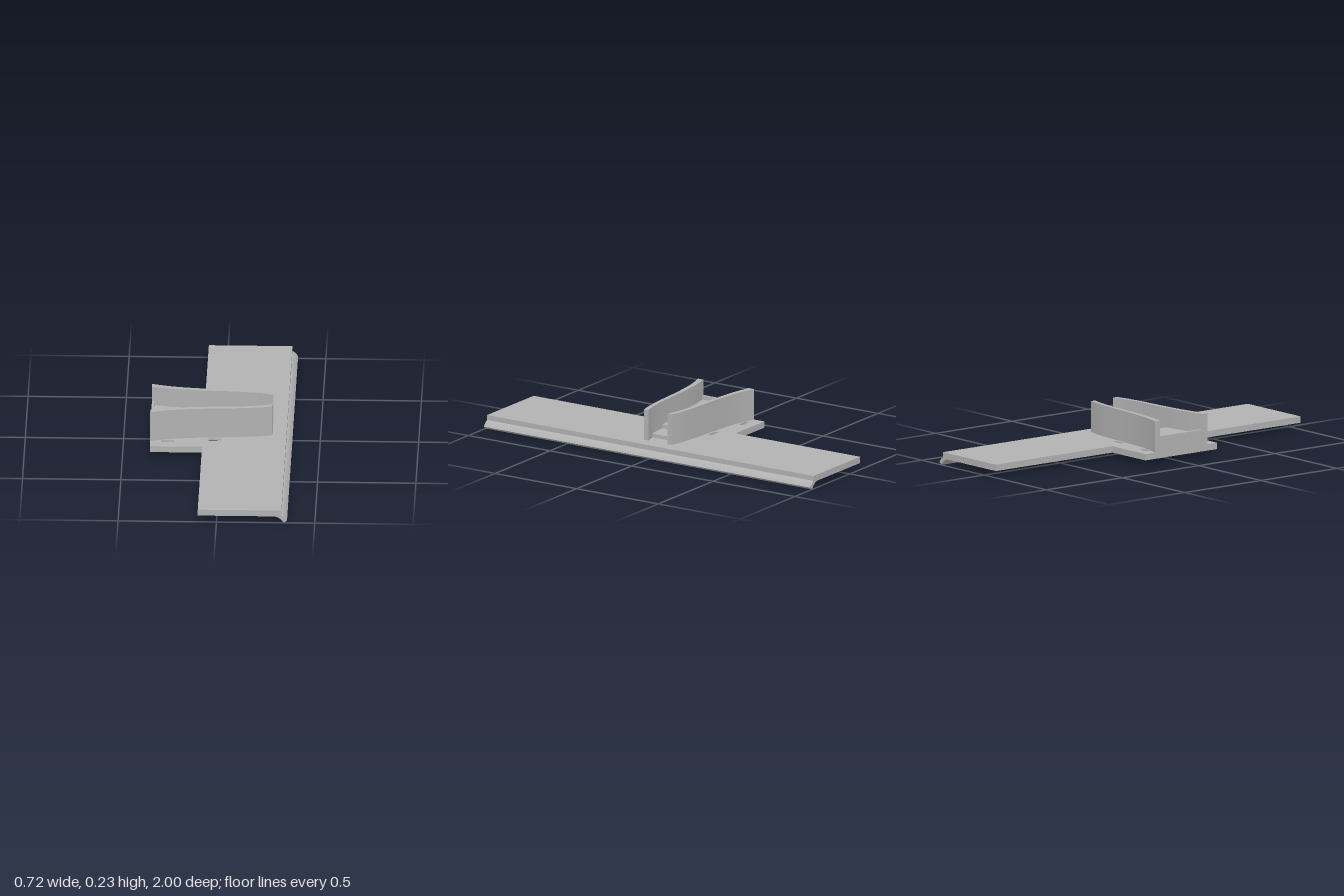
import * as THREE from 'three';
import { toCreasedNormals } from 'three/addons/utils/BufferGeometryUtils.js';

const grey = new THREE.MeshStandardMaterial({ color: 0xb2b2b2 });
grey.name = 'grey plastic';

const BASE = 0.038, DECK = 0.071, WALL_TOP = 0.232;

export function createModel() {
  const group = new THREE.Group();

  const add = (name, geometry) => {
    const mesh = new THREE.Mesh(geometry, grey);
    mesh.name = name;
    group.add(mesh);
  };
  const v = (x, y) => new THREE.Vector2(x, y);
  const shapeOf = (pts) => new THREE.Shape(pts.map(([x, y]) => v(x, y)));

  // Extrudes a plan outline (x, -z) upward from y0 to y1
  const slab = (shape, y0, y1) => {
    const g = new THREE.ExtrudeGeometry(shape, { depth: y1 - y0, bevelEnabled: false });
    g.rotateX(-Math.PI / 2);
    g.translate(0, y0, 0);
    return toCreasedNormals(g, 0.5);
  };
  const rect = (x0, x1, h) => [[x0, -h], [x1, -h], [x1, h], [x0, h]];

  // T-shaped plate with two strap channels
  const plate = shapeOf([
    [-0.095, -1], [0.33, -1], [0.33, 1], [-0.095, 1],
    [-0.095, 0.235], [-0.36, 0.235], [-0.36, -0.235], [-0.095, -0.235],
  ]);
  const channels = [
    { x0: -0.305, x1: -0.24, hole: 0.183, cover: 0.157 },
    { x0: -0.065, x1: 0.0, hole: 0.156, cover: 0.13 },
  ];
  for (const c of channels) {
    plate.holes.push(new THREE.Path(rect(c.x0, c.x1, c.hole).map(([x, y]) => v(x, y))));
    // Roof of the channel, leaving a slot open at each end
    add('channelRoof', slab(shapeOf(rect(c.x0, c.x1, c.cover)), 0.06, DECK));
  }
  add('basePlate', slab(plate, BASE, DECK));

  // Downward-curling lip along the long edge
  const lip = new THREE.Shape();
  lip.moveTo(0.29, BASE);
  lip.quadraticCurveTo(0.32, 0.037, 0.343, 0.003);
  lip.lineTo(0.359, 0.016);
  lip.quadraticCurveTo(0.347, 0.036, 0.33, 0.045);
  lip.lineTo(0.31, 0.05);
  lip.closePath();
  const lipGeometry = new THREE.ExtrudeGeometry(lip, { depth: 2, bevelEnabled: false, curveSegments: 10 });
  lipGeometry.translate(0, 0, -1);
  add('curledLip', toCreasedNormals(lipGeometry, 0.5));

  // Pair of curved side walls that narrow toward +x
  const outer = new THREE.SplineCurve([v(-0.36, 0.172), v(-0.25, 0.143), v(-0.1, 0.124), v(0.08, 0.112), v(0.19, 0.1), v(0.26, 0.085)]);
  const inner = new THREE.SplineCurve([v(-0.36, 0.138), v(-0.25, 0.116), v(-0.1, 0.1), v(0.08, 0.09), v(0.19, 0.076), v(0.26, 0.058)]);
  const outerPts = outer.getPoints(30), innerPts = inner.getPoints(30);
  for (const side of [1, -1]) {
    const pts = [...outerPts, ...innerPts.slice().reverse()].map((p) => [p.x, p.y * side]);
    add(side > 0 ? 'rearWall' : 'frontWall', slab(shapeOf(pts), DECK, WALL_TOP));
  }

  // Half-width of the gap between the walls, reaching slightly into them
  const halfWidth = (x) => {
    const i = Math.max(1, innerPts.findIndex((p) => p.x >= x - 1e-6));
    const a = innerPts[i - 1], b = innerPts[i];
    return THREE.MathUtils.mapLinear(x, a.x, b.x, a.y, b.y) + 0.006;
  };

  // Stepped floor descending toward +x
  const steps = [[-0.36, -0.345, 0.151], [-0.345, -0.12, 0.131], [-0.12, 0.09, 0.111], [0.09, 0.2, 0.091]];
  for (const [x0, x1, top] of steps) {
    const edge = [];
    for (let i = 0; i <= 8; i++) {
      const x = x0 + ((x1 - x0) * i) / 8;
      edge.push([x, halfWidth(x)]);
    }
    const mirrored = edge.map(([x, z]) => [x, -z]).reverse();
    add('floorStep', slab(shapeOf([...edge, ...mirrored]), DECK, top));
  }

  return group;
}
